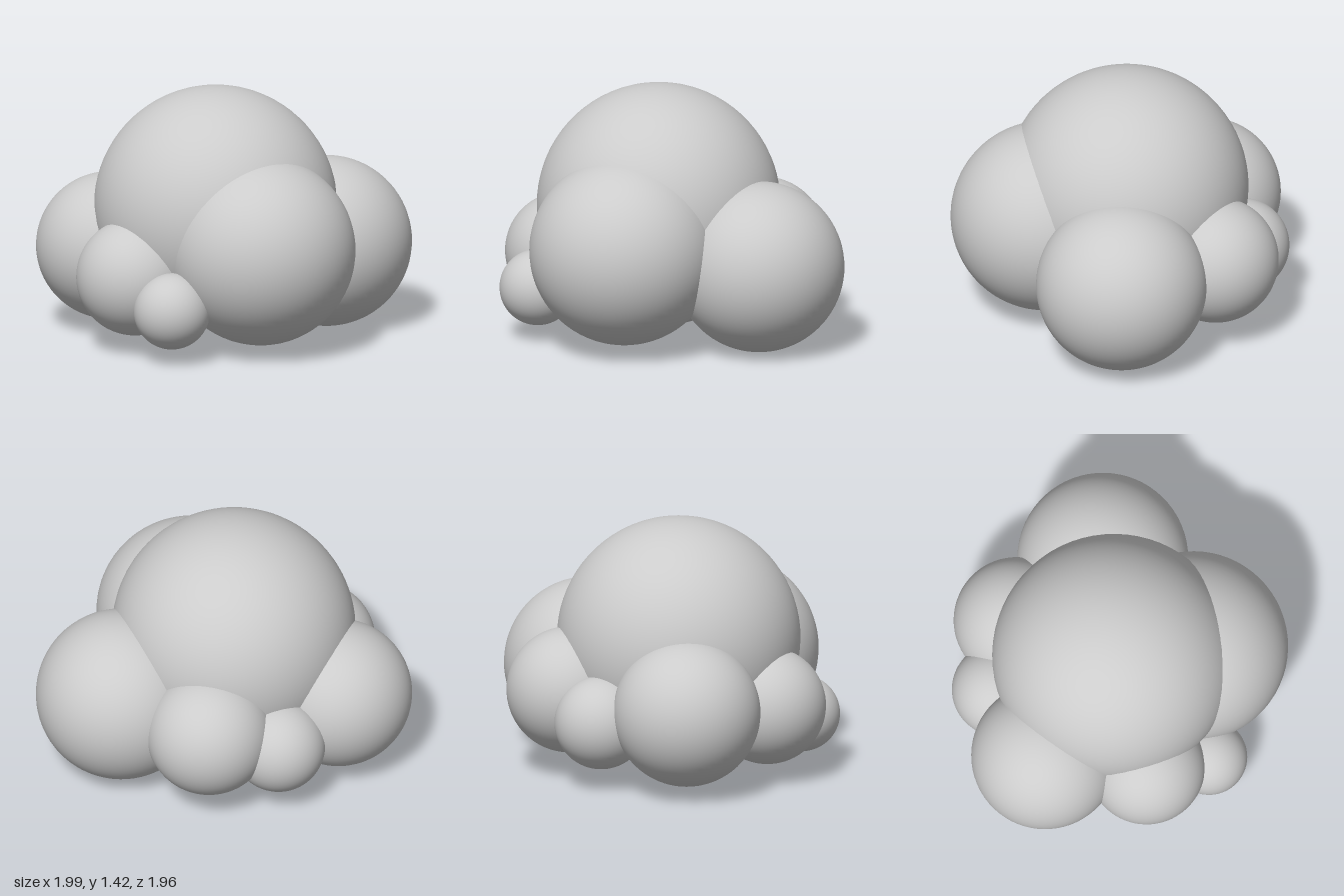
import * as THREE from 'three';

// name, centre x, y, z, radius
const LOBES = [
  ['mainLobe', -0.11, 0.745, 0, 0.68],
  ['frontLobe', -0.21, 0.585, 0.445, 0.53],
  ['leftLobe', 0.518, 0.482, 0.253, 0.477],
  ['backRightLobe', -0.372, 0.473, -0.568, 0.412],
  ['backLeftLobe', 0.412, 0.48, -0.342, 0.352],
  ['rightLobe', -0.67, 0.425, -0.085, 0.328],
  ['smallBackLobe', 0.125, 0.38, -0.603, 0.261],
  ['smallRightLobe', -0.742, 0.299, 0.271, 0.213],
];

export function createModel() {
  const cloud = new THREE.Group();
  cloud.name = 'cloud';
  const material = new THREE.MeshStandardMaterial({ color: 0xcccccc });
  const ball = new THREE.SphereGeometry(1, 64, 40);

  // Overlapping smooth balls form the puffy cloud
  for (const [name, x, y, z, radius] of LOBES) {
    const lobe = new THREE.Mesh(ball, material);
    lobe.name = name;
    lobe.position.set(x, y, z);
    lobe.scale.setScalar(radius);
    cloud.add(lobe);
  }
  return cloud;
}
